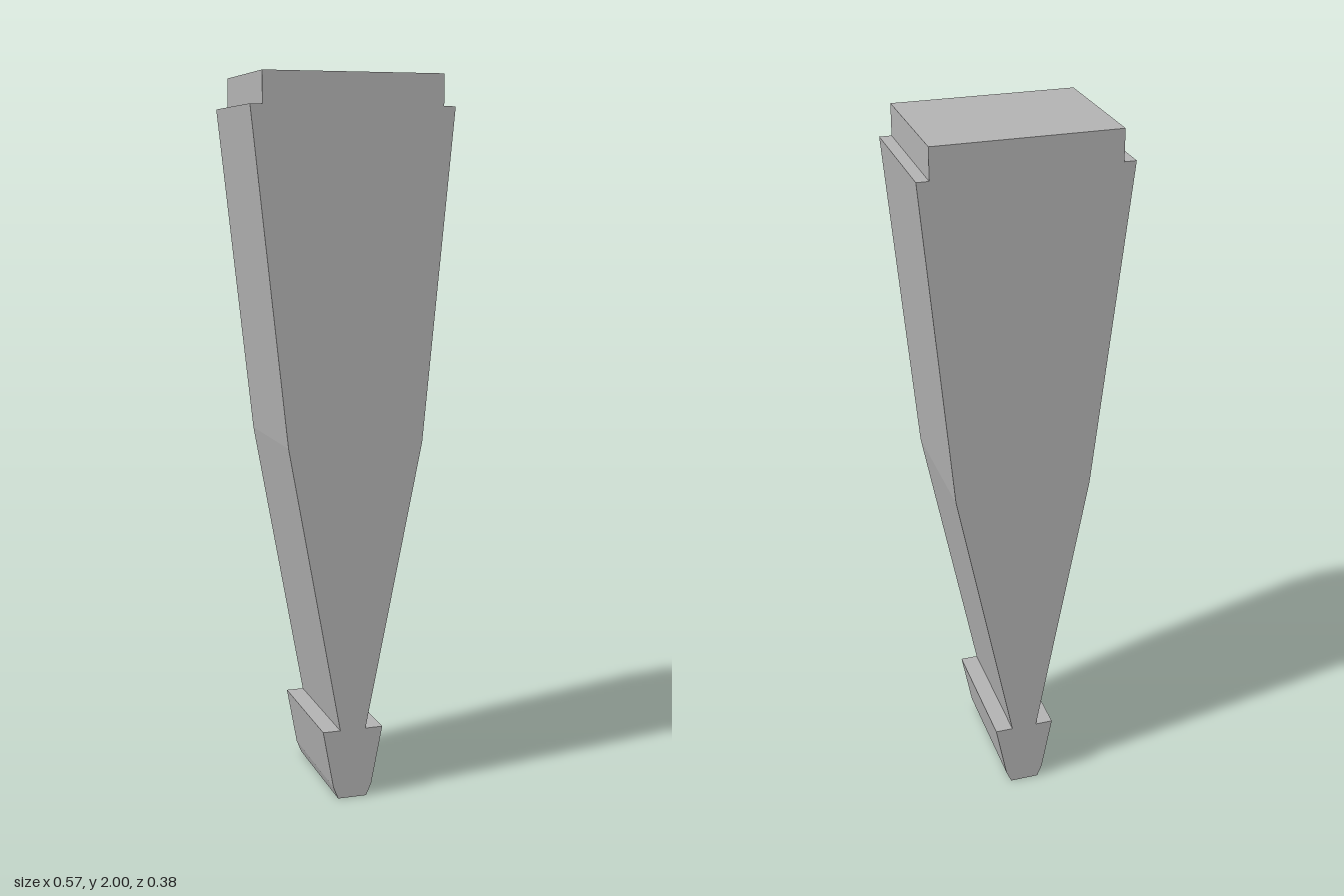
import * as THREE from 'three';

export function createModel() {
  const model = new THREE.Group();
  model.name = 'taperedLeg';

  const stone = new THREE.MeshStandardMaterial({ color: 0xb2b2b2 });
  stone.name = 'plain grey';

  // Outline from the foot, up the left side and down the right side
  const outline = [
    [-0.043, 0], [0.04, 0], [0.055, 0.035], [0.087, 0.2], // foot
    [0.037, 0.2], [0.198, 1.01], [0.283, 1.915], // tapering shaft
    [0.25, 1.915], [0.25, 2], [-0.25, 2], [-0.25, 1.915], // top block
    [-0.283, 1.915], [-0.184, 1.01], [-0.037, 0.2], // tapering shaft
    [-0.087, 0.2], [-0.057, 0.035], // foot
  ];
  const shape = new THREE.Shape(outline.map(([x, y]) => new THREE.Vector2(x, y)));
  const geometry = new THREE.ExtrudeGeometry(shape, { depth: 1, bevelEnabled: false });

  // Back face is upright; front face leans forward very slightly
  const pos = geometry.attributes.position;
  for (let i = 0; i < pos.count; i++) {
    const front = 0.185 + 0.003 * pos.getY(i);
    pos.setZ(i, pos.getZ(i) > 0.5 ? front : -0.192);
  }
  geometry.computeVertexNormals();

  const body = new THREE.Mesh(geometry, stone);
  body.name = 'legBody';
  model.add(body);
  return model;
}
